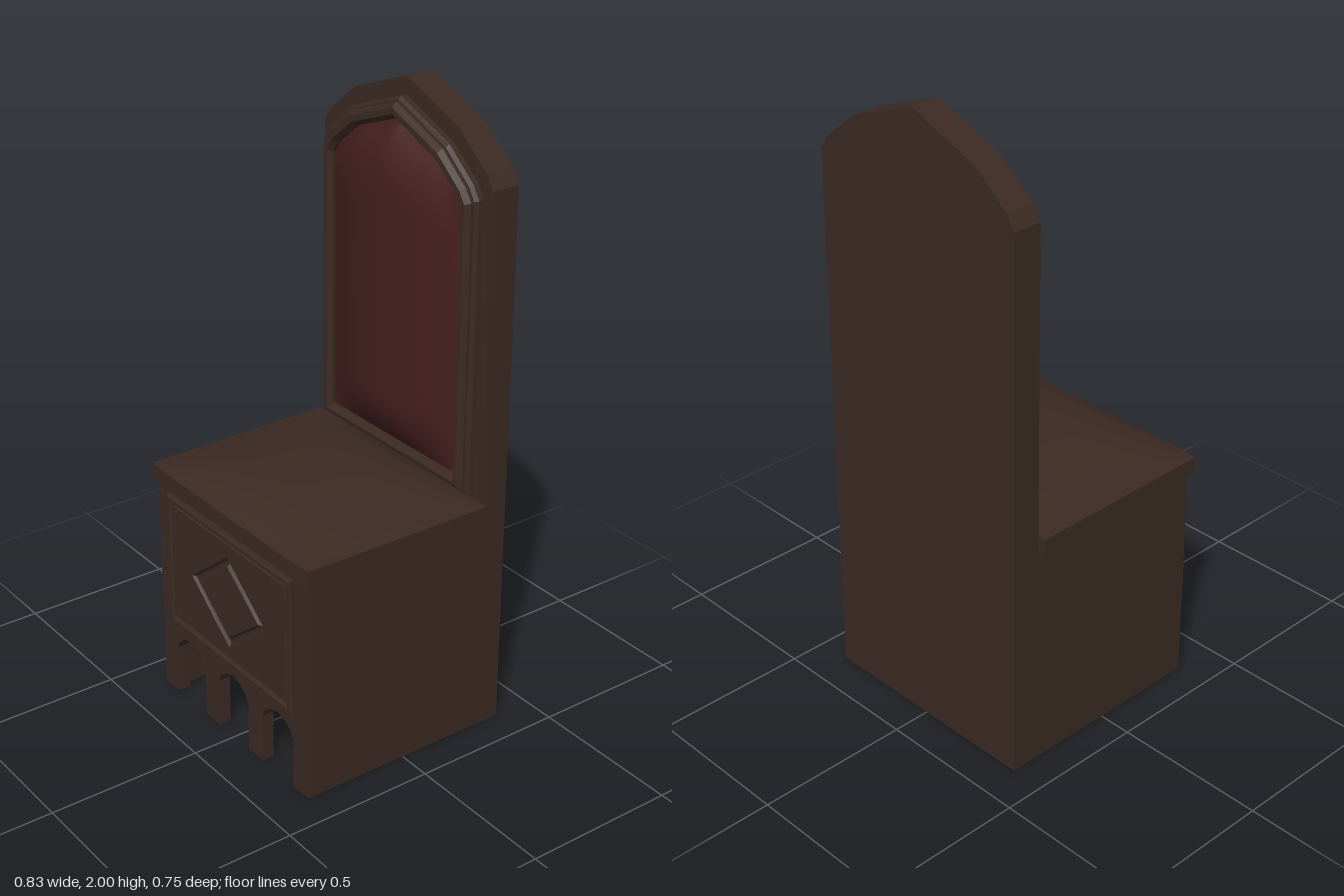
import * as THREE from 'three';

const wood = new THREE.MeshStandardMaterial({ color: 0x3b2a22 });
const leather = new THREE.MeshStandardMaterial({ color: 0x451f1f });

// Right half of the pointed outline, from shoulder to apex
const archHalf = (w, top) => [[1, 0.235], [0.925, 0.19], [0.62, 0.093], [0, 0]]
  .map(([x, d]) => [x * w, top - d * w / 0.39]);

const archPoints = (w, bottom, top) => {
  const half = archHalf(w, top);
  const left = half.slice(0, -1).reverse().map(([x, y]) => [-x, y]);
  return [[-w, bottom], [w, bottom], ...half, ...left];
};
const rect = (w, y0, y1) => [[-w, y0], [w, y0], [w, y1], [-w, y1]];
const diamond = (w, h, y) => [[0, y - h], [w, y], [0, y + h], [-w, y]];
const vecs = (pts) => pts.map(([x, y]) => new THREE.Vector2(x, y));

// Plate of an outline (with holes) from z0 to z1; bevel slopes its edges inside the outline
function plate(outline, holes, z0, z1, bevel = 0) {
  const shape = new THREE.Shape(vecs(outline));
  holes.forEach((h) => shape.holes.push(new THREE.Path(vecs(h))));
  const g = new THREE.ExtrudeGeometry(shape, {
    depth: z1 - z0 - bevel, bevelEnabled: bevel > 0, bevelThickness: bevel,
    bevelSize: bevel, bevelOffset: -bevel, bevelSegments: 1,
  });
  return g.translate(0, 0, z0);
}

// Curved sheet: rule(u, v) gives a point for u, v in -1..1
function sheet(nu, nv, rule) {
  const g = new THREE.PlaneGeometry(2, 2, nu, nv);
  const p = g.attributes.position;
  for (let i = 0; i < p.count; i++) p.setXYZ(i, ...rule(p.getX(i), p.getY(i)));
  g.computeVertexNormals();
  return g;
}

export function createModel() {
  const model = new THREE.Group();
  const add = (name, geometry, material = wood) => {
    const mesh = new THREE.Mesh(geometry, material);
    mesh.name = name;
    model.add(mesh);
    return mesh;
  };

  // Tall pointed back, reaching the floor
  add('backrest', plate(archPoints(0.39, 0, 2), [], -0.375, -0.28));

  // Stepped moulding around the upholstery
  const opening = archPoints(0.3, 0.86, 1.88);
  add('outerMoulding', plate(archPoints(0.355, 0.81, 1.945), [opening], -0.29, -0.252, 0.01));
  add('innerMoulding', plate(archPoints(0.342, 0.824, 1.93), [opening], -0.28, -0.23, 0.014));

  // Padded back cushion, domed across and rounded at both ends
  const edge = archHalf(0.302, 1.882);
  const topAt = (x) => {
    const i = x >= edge[1][0] ? 0 : x >= edge[2][0] ? 1 : 2;
    const [a, b] = [edge[i], edge[i + 1]];
    return a[1] + (b[1] - a[1]) * (x - a[0]) / (b[0] - a[0]);
  };
  add('backCushion', sheet(24, 32, (u, v) => {
    const x = u * 0.302;
    const top = topAt(Math.abs(x));
    const y = THREE.MathUtils.lerp(0.858, top, (v + 1) / 2);
    const d = Math.min(1, Math.min(y - 0.858, top - y) / 0.17);
    return [x, y, -0.255 + 0.07 * (1 - u * u) * (1 - (1 - d) ** 2)];
  }), leather);

  // Hollow base: two side walls and a front wall cut by three arches
  for (const s of [-1, 1]) {
    add(s > 0 ? 'leftWall' : 'rightWall',
      new THREE.BoxGeometry(0.05, 0.745, 0.595).translate(s * 0.365, 0.3725, 0.0175));
  }
  const front = [[-0.39, 0]];
  for (const c of [-0.235, 0, 0.235]) {
    for (const [x, y] of [[-0.08, 0], [-0.08, 0.165], [-0.066, 0.192], [-0.04, 0.212], [0, 0.225],
      [0.04, 0.212], [0.066, 0.192], [0.08, 0.165], [0.08, 0]]) front.push([c + x, y]);
  }
  front.push([0.39, 0], [0.39, 0.745], [-0.39, 0.745]);
  add('archedFront', plate(front, [], 0.315, 0.355));

  // Front panel: border, field and a diamond groove
  add('panelBorder', plate(rect(0.327, 0.264, 0.72), [rect(0.303, 0.288, 0.696)], 0.34, 0.372, 0.006));
  add('panelField', plate(rect(0.303, 0.288, 0.696), [diamond(0.187, 0.147, 0.49)], 0.34, 0.366, 0.008));
  add('panelDiamond', plate(diamond(0.168, 0.132, 0.49), [], 0.34, 0.366, 0.008));

  // Seat slab, slightly narrower at the front
  const slab = [[-0.408, -0.363], [-0.31, -0.37], [0.31, -0.37], [0.408, -0.363], [0.415, 0.28], [-0.415, 0.28]];
  add('seatSlab', plate(slab, [], 0.738, 0.79).rotateX(-Math.PI / 2));

  // Gently domed seat top
  add('seatTop', sheet(24, 24, (u, v) => {
    const x = u * (0.4115 + 0.0035 * v);
    const frontZ = 0.37 - 0.0714 * Math.max(0, Math.abs(x) - 0.31);
    const z = THREE.MathUtils.lerp(frontZ, -0.28, (v + 1) / 2);
    return [x, 0.79 + 0.05 * (1 - u * u) * (1 - v ** 4), z];
  }));

  return model;
}
